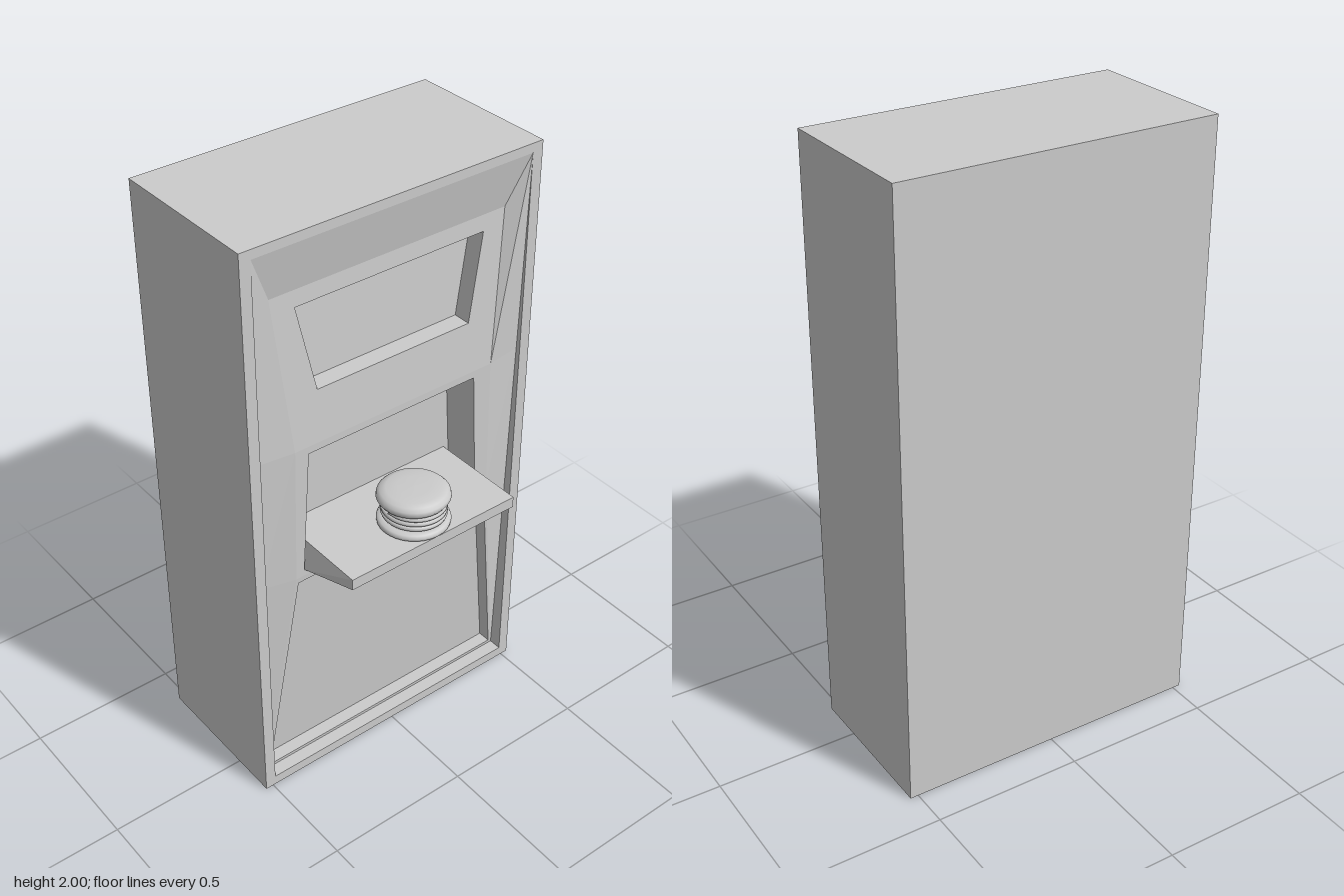
import * as THREE from 'three';

const FRONT = 0.155, BACK = -0.37;
const grey = new THREE.MeshStandardMaterial({ color: 0xcccccc });
const flat = new THREE.MeshStandardMaterial({ color: 0xcccccc, flatShading: true, side: THREE.DoubleSide });

function add(group, name, geometry, material = flat) {
  const mesh = new THREE.Mesh(geometry, material);
  mesh.name = name;
  group.add(mesh);
  return mesh;
}

// Corners of a trapezoid, counter-clockwise from bottom left
const trapezoid = (yTop, halfTop, yBottom, halfBottom, cx = 0) => [
  [cx - halfBottom, yBottom], [cx + halfBottom, yBottom],
  [cx + halfTop, yTop], [cx - halfTop, yTop],
].map(([x, y]) => new THREE.Vector2(x, y));

// Loose flat quads, each given as four corners
function quads(list) {
  const pos = [];
  for (const [a, b, c, d] of list) for (const p of [a, b, c, a, c, d]) pos.push(...p);
  const g = new THREE.BufferGeometry();
  g.setAttribute('position', new THREE.Float32BufferAttribute(pos, 3));
  g.computeVertexNormals();
  return g;
}

// Moves a flat shape onto the surface z = rule(y)
function drape(shape, rule) {
  const g = new THREE.ShapeGeometry(shape);
  const p = g.attributes.position;
  for (let i = 0; i < p.count; i++) p.setZ(i, rule(p.getY(i)));
  g.computeVertexNormals();
  return g;
}

// A tilted panel with a sunken window
function windowPanel(group, name, outline, opening, depth, rule) {
  const panel = new THREE.Shape(outline);
  panel.holes.push(new THREE.Path(opening));
  add(group, name, drape(panel, rule));
  add(group, name + 'WindowBack', drape(new THREE.Shape(opening), (y) => rule(y) - depth));
  const walls = opening.map((a, i) => {
    const b = opening[(i + 1) % 4];
    return [[a.x, a.y, rule(a.y)], [b.x, b.y, rule(b.y)],
      [b.x, b.y, rule(b.y) - depth], [a.x, a.y, rule(a.y) - depth]];
  });
  add(group, name + 'WindowWalls', quads(walls));
}

export function createModel() {
  const model = new THREE.Group();
  model.name = 'wallUnit';

  // Outer casing: open box with a thin front rim
  const rim = new THREE.Shape(trapezoid(2, 0.527, 0, 0.527));
  rim.holes.push(new THREE.Path(trapezoid(1.97, 0.49, 0.035, 0.49)));
  const casing = new THREE.ExtrudeGeometry(rim, { depth: FRONT - BACK - 0.02, bevelEnabled: false });
  add(model, 'casing', casing.translate(0, 0, BACK + 0.02), grey);
  add(model, 'backPlate', new THREE.BoxGeometry(1.054, 2, 0.02).translate(0, 1, BACK + 0.01), grey);

  // Face panels: upper leans out, middle is upright, lower leans back
  const yTop = 1.81, yUp = 1.3, yLow = 0.83, yFoot = 0.035;
  const lerp = THREE.MathUtils.mapLinear;
  windowPanel(model, 'upperPanel', trapezoid(yTop, 0.42, yUp, 0.37),
    trapezoid(1.757, 0.338, 1.475, 0.28), 0.06,
    (y) => FRONT + lerp(y, yUp, yTop, 0, -0.03));
  windowPanel(model, 'middlePanel', trapezoid(yUp, 0.37, yLow, 0.38),
    trapezoid(1.275, 0.313, 0.85, 0.34, -0.01), 0.13, () => FRONT);
  windowPanel(model, 'lowerPanel', trapezoid(yLow, 0.38, yFoot, 0.49),
    trapezoid(0.81, 0.372, 0.047, 0.477), 0.045,
    (y) => FRONT + lerp(y, yLow, yFoot, 0, -0.045));

  // Sloped facets joining the panels to the rim
  const groove = (y) => FRONT + lerp(y, 1.97, yFoot, 0, -0.045);
  const inner = [[0.42, yTop, FRONT - 0.03], [0.37, yUp, FRONT], [0.38, yLow, FRONT], [0.49, yFoot, FRONT - 0.045]];
  const outer = [1.97, yUp, yLow, yFoot].map((y) => [0.49, y, groove(y)]);
  const flip = ([x, y, z]) => [-x, y, z];
  const right = [0, 1, 2].map((i) => [outer[i], inner[i], inner[i + 1], outer[i + 1]]);
  add(model, 'leftFacets', quads(right));
  add(model, 'rightFacets', quads(right.map((q) => q.map(flip).reverse())));
  add(model, 'topSlope', quads([[flip(outer[0]), flip(inner[0]), inner[0], outer[0]]]));

  // Shelf: underside rises toward the front and flares toward the back
  const shelf = new THREE.BoxGeometry(0.63, 1, 1, 1, 1, 2);
  const p = shelf.attributes.position;
  for (let i = 0; i < p.count; i++) {
    const atFront = p.getZ(i) > 0.25, low = p.getY(i) < 0;
    p.setZ(i, atFront ? 0.36 : p.getZ(i) > -0.25 ? FRONT : FRONT - 0.13);
    p.setY(i, low ? (atFront ? 0.9 : 0.85) : 0.938);
    if (low && !atFront) p.setX(i, Math.sign(p.getX(i)) * 0.337);
  }
  add(model, 'shelf', shelf.translate(-0.01, 0, 0));

  // Push button: stepped base, coil spring and tilted domed cap
  const button = new THREE.Group();
  button.name = 'button';
  button.position.set(-0.005, 0.936, 0.25);
  model.add(button);
  const lathe = (pts) => new THREE.LatheGeometry(pts.map(([x, y]) => new THREE.Vector2(x, y)), 32);
  add(button, 'buttonBase', lathe([[0, 0], [0.107, 0], [0.114, 0.006], [0.115, 0.014],
    [0.11, 0.022], [0.098, 0.025], [0.07, 0.026], [0.07, 0.085]]), grey);
  const coil = [];
  for (let i = 0; i <= 40; i++) {
    const a = (i / 40) * Math.PI * 5;
    coil.push(new THREE.Vector3(0.095 * Math.cos(a), 0.034 + 0.042 * (i / 40), 0.095 * Math.sin(a)));
  }
  add(button, 'spring', new THREE.TubeGeometry(new THREE.CatmullRomCurve3(coil), 100, 0.0085, 8), grey);
  const cap = add(button, 'buttonCap', lathe([[0, 0.08], [0.095, 0.08], [0.108, 0.085], [0.115, 0.096],
    [0.113, 0.108], [0.103, 0.118], [0.085, 0.124], [0.05, 0.126], [0, 0.127]]), grey);
  cap.rotation.x = -0.025;

  return model;
}
